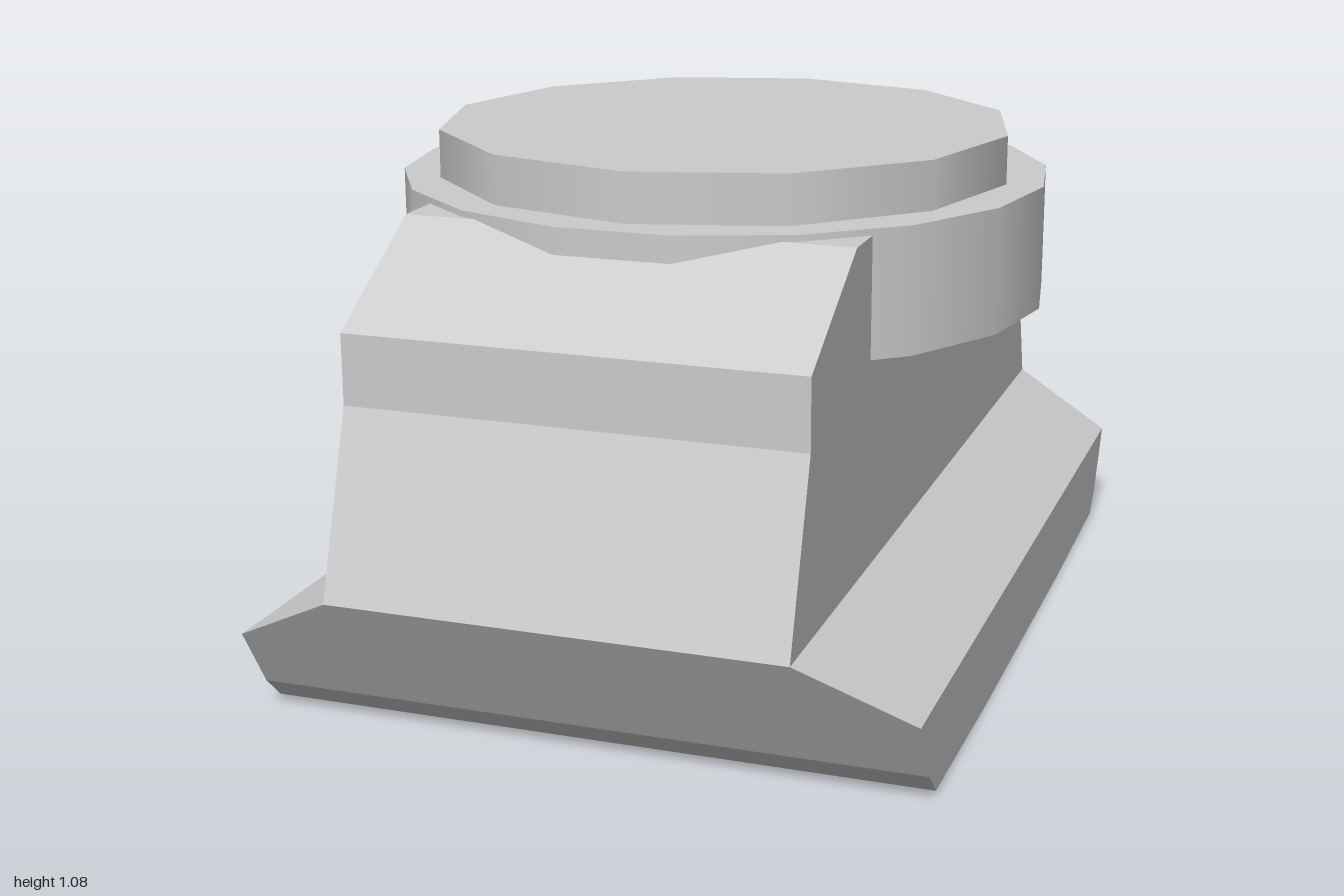
import * as THREE from 'three';

const material = new THREE.MeshStandardMaterial({ color: 0xcccccc });

// Flat-shaded loft through centred rectangles given as [halfX, halfZ, y], bottom to top.
function loftRectangles(levels) {
  const corners = [[1, 1], [1, -1], [-1, -1], [-1, 1]];
  const positions = levels.flatMap(([hx, hz, y]) =>
    corners.flatMap(([sx, sz]) => [sx * hx, y, sz * hz]));
  const index = [0, 2, 1, 0, 3, 2];
  for (let l = 0; l < levels.length - 1; l++) {
    for (let i = 0; i < 4; i++) {
      const a = l * 4 + i, b = l * 4 + (i + 1) % 4;
      index.push(a, b, b + 4, a, b + 4, a + 4);
    }
  }
  const t = (levels.length - 1) * 4;
  index.push(t, t + 1, t + 2, t, t + 2, t + 3);
  const indexed = new THREE.BufferGeometry();
  indexed.setAttribute('position', new THREE.Float32BufferAttribute(positions, 3));
  indexed.setIndex(index);
  const geometry = indexed.toNonIndexed();
  geometry.computeVertexNormals();
  return geometry;
}

function addMesh(group, name, geometry) {
  const mesh = new THREE.Mesh(geometry, material);
  mesh.name = name;
  group.add(mesh);
  return mesh;
}

// Upright disc between two heights, with one corner on the x axis.
function addDisc(group, name, radius, sides, bottom, top) {
  const geometry = new THREE.CylinderGeometry(radius, radius, top - bottom, sides, 1, false, Math.PI / 2);
  addMesh(group, name, geometry).position.y = (bottom + top) / 2;
}

export function createModel() {
  const model = new THREE.Group();
  model.name = 'pedestal';

  // Wide base with chamfered ends, sloping in to the waist
  addMesh(model, 'base', loftRectangles([
    [0.675, 0.37, 0],
    [0.675, 0.80, 0.01],
    [0.675, 0.85, 0.06],
    [0.675, 0.93, 0.19],
    [0.455, 1.00, 0.305],
  ]));

  // Narrow block with tapered ends and sloping shoulders
  addMesh(model, 'body', loftRectangles([
    [0.455, 1.00, 0.305],
    [0.455, 0.885, 0.66],
    [0.455, 0.885, 0.80],
    [0.455, 0.60, 0.967],
  ]));

  // Round drum overhanging both sides, and the cap on it
  addDisc(model, 'drum', 0.68, 18, 0.725, 0.98);
  addDisc(model, 'cap', 0.603, 12, 0.97, 1.08);

  return model;
}
